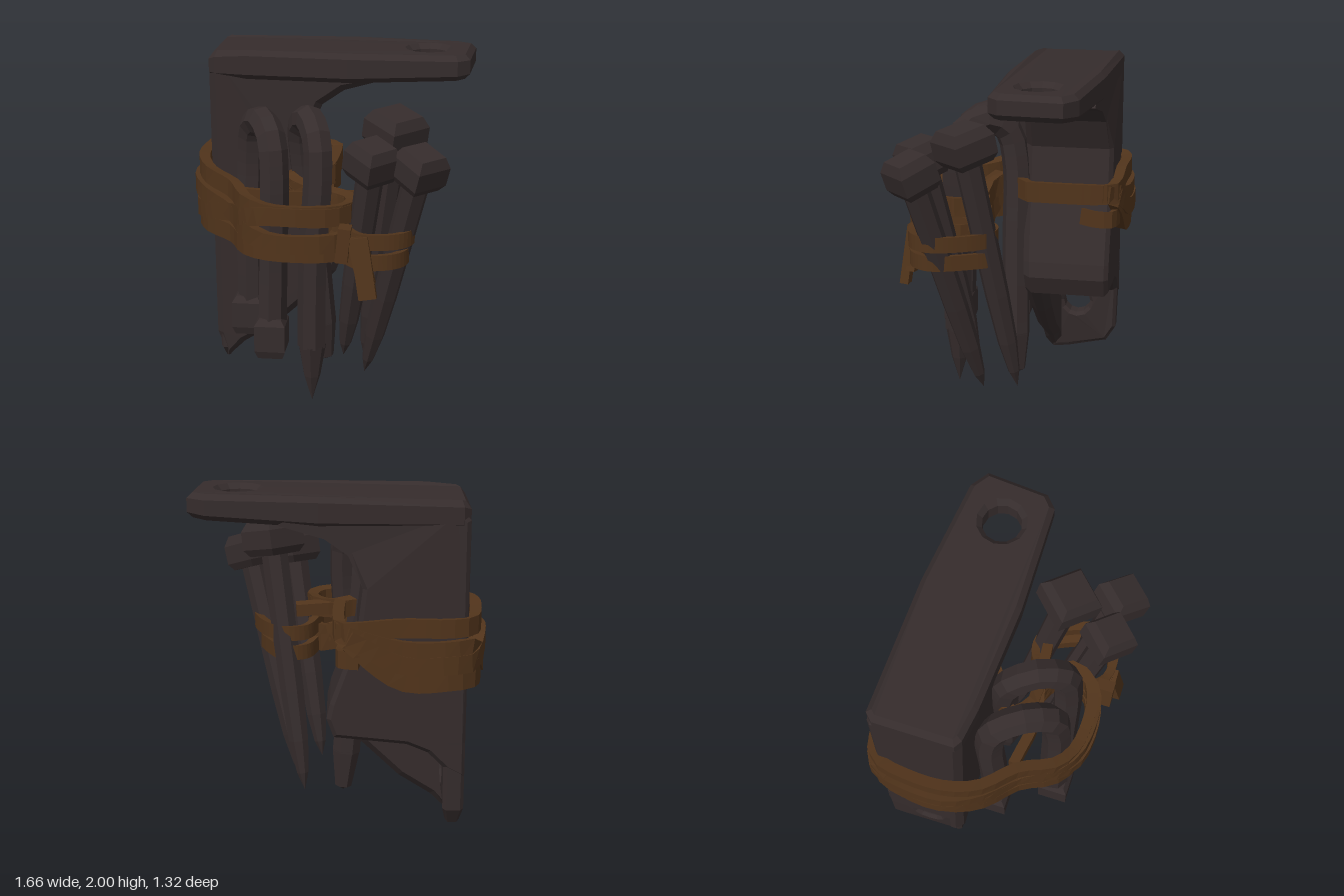
import * as THREE from 'three';

const iron = new THREE.MeshStandardMaterial({ color: 0x352c2c, flatShading: true });
iron.name = 'dark iron';
const leather = new THREE.MeshStandardMaterial({ color: 0x51341b, flatShading: true });
leather.name = 'brown leather';

const V = (p) => new THREE.Vector3(...p);

function add(parent, name, geometry, material = iron) {
  const mesh = new THREE.Mesh(geometry, material);
  mesh.name = name;
  parent.add(mesh);
  return mesh;
}

// Move every vertex of a geometry by a rule
function reshape(g, rule) {
  const p = g.attributes.position, v = new THREE.Vector3();
  for (let i = 0; i < p.count; i++) {
    rule(v.fromBufferAttribute(p, i));
    p.setXYZ(i, v.x, v.y, v.z);
  }
  g.computeVertexNormals();
  return g;
}

// Bevelled slab from a counter-clockwise outline, with an optional round hole [x, y, radius]
function slab(points, depth, bevel, hole) {
  const shape = new THREE.Shape(points.map((p) => new THREE.Vector2(...p)));
  if (hole) {
    const h = new THREE.Path();
    h.absarc(hole[0], hole[1], hole[2], 0, Math.PI * 2, true);
    shape.holes.push(h);
  }
  const g = new THREE.ExtrudeGeometry(shape, {
    depth: depth - bevel * 2, bevelEnabled: true, bevelThickness: bevel,
    bevelSize: bevel, bevelOffset: -bevel, bevelSegments: 1, curveSegments: 6,
  });
  return g.translate(0, 0, bevel);
}

// Lathed piece whose axis runs from a to b; profile is [radius, fraction of length]
function spindle(a, b, profile, sides) {
  const dir = V(b).sub(V(a));
  const len = dir.length();
  const g = new THREE.LatheGeometry(profile.map(([r, t]) => new THREE.Vector2(r, t * len)), sides);
  g.applyQuaternion(new THREE.Quaternion().setFromUnitVectors(new THREE.Vector3(0, 1, 0), dir.normalize()));
  return g.translate(...a);
}

// Flat band of height h and thickness t swept along a path, kept upright
function band(points, h, t, closed = true) {
  const curve = new THREE.CatmullRomCurve3(points.map(V), closed, 'centripetal');
  const n = closed ? 52 : 8;
  const pos = [], index = [];
  for (let i = 0; i <= n; i++) {
    const c = curve.getPointAt(i / n);
    const d = curve.getTangentAt(i / n);
    const side = new THREE.Vector3(-d.z, 0, d.x).normalize();
    const up = new THREE.Vector3().crossVectors(d, side).normalize();
    for (const [s, u] of [[-1, -0.8], [1, -1], [1, 1], [-1, 0.8]]) {
      const p = c.clone().addScaledVector(side, s * t / 2).addScaledVector(up, u * h / 2);
      pos.push(p.x, p.y, p.z);
    }
  }
  for (let i = 0; i < n; i++) {
    for (let k = 0; k < 4; k++) {
      const a = i * 4 + k, b = i * 4 + (k + 1) % 4;
      index.push(a, b, a + 4, b, b + 4, a + 4);
    }
  }
  if (!closed) index.push(0, 2, 1, 0, 3, 2, n * 4, n * 4 + 1, n * 4 + 2, n * 4, n * 4 + 2, n * 4 + 3);
  const g = new THREE.BufferGeometry();
  g.setAttribute('position', new THREE.Float32BufferAttribute(pos, 3));
  g.setIndex(index);
  g.computeVertexNormals();
  return g;
}

function buildBracket() {
  const bracket = new THREE.Group();
  bracket.name = 'bracket';

  // Top arm with its bolt hole, thinner towards the tip and rounded off at the corner
  const arm = slab([[-0.72, 0.08], [-0.68, 0.05], [-0.5, 0.02], [0.1, -0.02], [0.72, -0.01], [0.79, 0.05],
    [0.82, 0.4], [0.72, 0.47], [0.1, 0.54], [-0.68, 0.57], [-0.72, 0.53]], 0.17, 0.03, [0.55, 0.235, 0.11]);
  arm.rotateX(-Math.PI / 2).translate(0, 1.83, 0);
  add(bracket, 'topArm', reshape(arm, (v) => {
    if (v.y < 1.92 && v.x > 0.35) v.y += 0.07 * (v.x - 0.35);
    if (v.y > 1.92 && v.x < -0.64) v.y -= 0.4 * (-0.64 - v.x);
  }));

  // Upper edge of the gusset, shared by column and front flange
  const upper = [[0.06, 0.75], [0.04, 0.84], [-0.11, 1.25], [-0.14, 1.5], [-0.06, 1.68],
    [0.07, 1.77], [0.32, 1.84], [0.25, 1.89], [-0.66, 1.95], [-0.72, 1.88]];
  add(bracket, 'column', reshape(slab([[-0.72, 0.4], [-0.61, 0.45], [-0.51, 0.55], [-0.39, 0.6], [0.02, 0.64], ...upper],
    0.44, 0.025).translate(0, 0, -0.57), (v) => {
    // the back follows the taper of the arm
    if (v.y > 1.6) v.z = Math.max(v.z, -0.57 + 0.06 * (v.x + 0.72));
  }));
  add(bracket, 'frontFlange', reshape(slab([[-0.72, 0.2], [-0.66, 0.03], [-0.55, 0.14], [-0.36, 0.26],
    [-0.15, 0.46], [0.02, 0.64], ...upper], 0.16, 0.04).translate(0, 0, -0.21), (v) => {
    // the front leans back towards the foot
    if (v.z > -0.15) v.z -= 0.06 * Math.max(0, 1 - v.y);
  }));

  // Lower mounting plate with a hole through its thickness, pointed at the foot
  add(bracket, 'lowerPlate', reshape(slab([[-0.11, 0.62], [-0.57, 0.62], [-0.56, 0.2], [-0.5, 0.1],
    [-0.25, 0.04], [-0.16, 0.03], [-0.11, 0.1]], 0.12, 0.02, [-0.31, 0.37, 0.085])
    .rotateY(-Math.PI / 2).translate(-0.6, 0, 0), (v) => {
    v.x = THREE.MathUtils.lerp(-0.66, v.x, Math.min(1, 0.15 + v.y / 0.22));
  }));
  return bracket;
}

function buildHook(name, points) {
  const hook = new THREE.Group();
  hook.name = name;
  const path = new THREE.CatmullRomCurve3(points.map(V), false, 'centripetal');
  add(hook, 'bentRod', new THREE.TubeGeometry(path, 36, 0.084, 7));
  return hook;
}

function buildSpike(name, head, tip, radius) {
  const spike = new THREE.Group();
  spike.name = name;
  add(spike, 'shaft', spindle(tip, head,
    [[0, 0], [0.035, 0.07], [0.06, 0.2], [0.072, 0.4], [0.08, 0.95], [0, 1]], 7));
  // Chunky square head centred on the end of the shaft
  const dir = V(head).sub(V(tip)).normalize().multiplyScalar(0.105);
  const low = V(head).sub(dir).toArray(), high = V(head).add(dir).toArray();
  add(spike, 'head', spindle(low, high,
    [[0, 0], [radius * 0.8, 0], [radius, 0.2], [radius, 0.72], [radius * 0.75, 1], [0, 1]], 4));
  return spike;
}

function buildStraps() {
  const straps = new THREE.Group();
  straps.name = 'straps';

  // Long loops around bracket and hooks: heights at gusset, back, outer side, front, then bulge
  const loops = [
    [1.27, 1.3, 1.3, 1.2, 0],
    [1.265, 1.18, 1.03, 1.19, 0.018],
    [1.26, 1.1, 1.17, 1.04, 0.026],
    [1.255, 1.0, 0.98, 0.98, 0.005],
  ];
  loops.forEach(([s, b, o, f, e], i) => {
    const mix = (t) => o + (f - o) * t;
    add(straps, 'longStrap' + (i + 1), band([
      [-0.14, s, -0.02], [-0.02, s, -0.08], [-0.01, s, -0.18], [-0.01, s, -0.48], [-0.03, s, -0.57],
      [-0.35, b, -0.6 - e], [-0.62, b, -0.605 - e], [-0.73, b, -0.55 - e],
      [-0.775 - e, o, -0.35], [-0.77 - e, o, -0.13], [-0.7, mix(0.2), 0.04], [-0.53, mix(0.5), 0.21],
      [-0.43, mix(0.75), 0.4], [-0.29, f, 0.48 + e], [0.02, f, 0.48 + e], [0.13, f, 0.41],
      [0.15, f, 0.28], [0.05, f, 0.18], [-0.14, (f + s) / 2, 0.16], [-0.24, s, 0.06]], 0.105, 0.065), leather);
  });
  // Loose end on the gusset side
  add(straps, 'looseEnd', band([[-0.04, 1.12, -0.4], [-0.02, 1.11, -0.48], [-0.02, 1.11, -0.57],
    [-0.12, 1.11, -0.6]], 0.1, 0.04, false), leather);

  // Short loops around the spikes
  [1.07, 0.95].forEach((y, i) => {
    const k = i * 0.03;
    add(straps, 'spikeStrap' + (i + 1), band([
      [0.13, y + 0.02, 0.44], [0.22, y, 0.52], [0.42 - k, y, 0.5], [0.49 - k, y, 0.4],
      [0.42 - k, y, 0.17], [0.32, y, 0.07], [0.2, y, 0.09], [0.13, y + 0.02, 0.25]], 0.09, 0.05), leather);
  });
  // Strap between hooks and spikes
  add(straps, 'tieStrap', band([[-0.5, 1.2, 0.17], [-0.2, 1.2, 0.21], [0.05, 1.2, 0.16],
    [0.25, 1.19, 0.14]], 0.09, 0.06, false), leather);

  // Knot and hanging tails
  const knot = add(straps, 'knot', new THREE.BoxGeometry(0.07, 0.2, 0.1), leather);
  knot.position.set(0.13, 1.05, 0.53);
  knot.rotation.z = -0.1;
  [[0.27, 0.75, 0.16], [0.24, 0.82, 0.24]].forEach(([x, y, tilt], i) => {
    const tail = add(straps, 'tail' + (i + 1), new THREE.BoxGeometry(0.1, 1.1 - y, 0.05), leather);
    tail.position.set((x + 0.22) / 2, (1.1 + y) / 2, 0.57 - i * 0.03);
    tail.rotation.set(-0.12, 0, tilt);
  });
  return straps;
}

export function createModel() {
  const model = new THREE.Group();
  model.name = 'bracketWithSpikes';
  model.add(buildBracket());

  // Hook with two block feet
  const footed = buildHook('footedHook', [[-0.47, 0.36, 0.05], [-0.47, 0.9, 0.04], [-0.46, 1.4, 0.02],
    [-0.44, 1.58, 0.06], [-0.37, 1.645, 0.18], [-0.3, 1.58, 0.31], [-0.28, 1.4, 0.35], [-0.29, 0.9, 0.36], [-0.3, 0.36, 0.38]]);
  [[-0.49, 0.42, 0.05], [-0.3, 0.42, 0.385]].forEach((c) => {
    const foot = add(footed, 'foot', spindle([0, -0.12, 0], [0, 0.12, 0],
      [[0, 0], [0.1, 0], [0.125, 0.2], [0.125, 0.85], [0.09, 1], [0, 1]], 4));
    foot.position.set(...c);
    foot.rotation.y = Math.PI / 4;
  });
  model.add(footed);

  // Hook with pointed legs
  const pointed = buildHook('pointedHook', [[-0.05, 0.35, -0.01], [-0.1, 0.9, 0.0], [-0.16, 1.4, 0.01],
    [-0.16, 1.59, 0.06], [-0.1, 1.66, 0.18], [-0.04, 1.58, 0.31], [-0.03, 1.4, 0.34], [-0.06, 0.9, 0.35], [-0.07, 0.35, 0.35]]);
  add(pointed, 'frontPoint', spindle([-0.07, 0, 0.35], [-0.07, 0.36, 0.35], [[0, 0], [0.05, 0.45], [0.084, 1]], 7));
  add(pointed, 'backPoint', spindle([-0.03, 0.1, -0.02], [-0.05, 0.36, -0.01], [[0, 0], [0.05, 0.1], [0.084, 1]], 7));
  model.add(pointed);

  // Three headed spikes
  model.add(buildSpike('backSpike', [0.39, 1.62, 0.21], [0.2, 0.11, -0.06], 0.185));
  model.add(buildSpike('outerSpike', [0.54, 1.48, 0.48], [0.22, 0.1, 0.14], 0.16));
  model.add(buildSpike('innerSpike', [0.28, 1.51, 0.48], [0.1, 0.23, 0.2], 0.16));

  model.add(buildStraps());
  return model;
}
